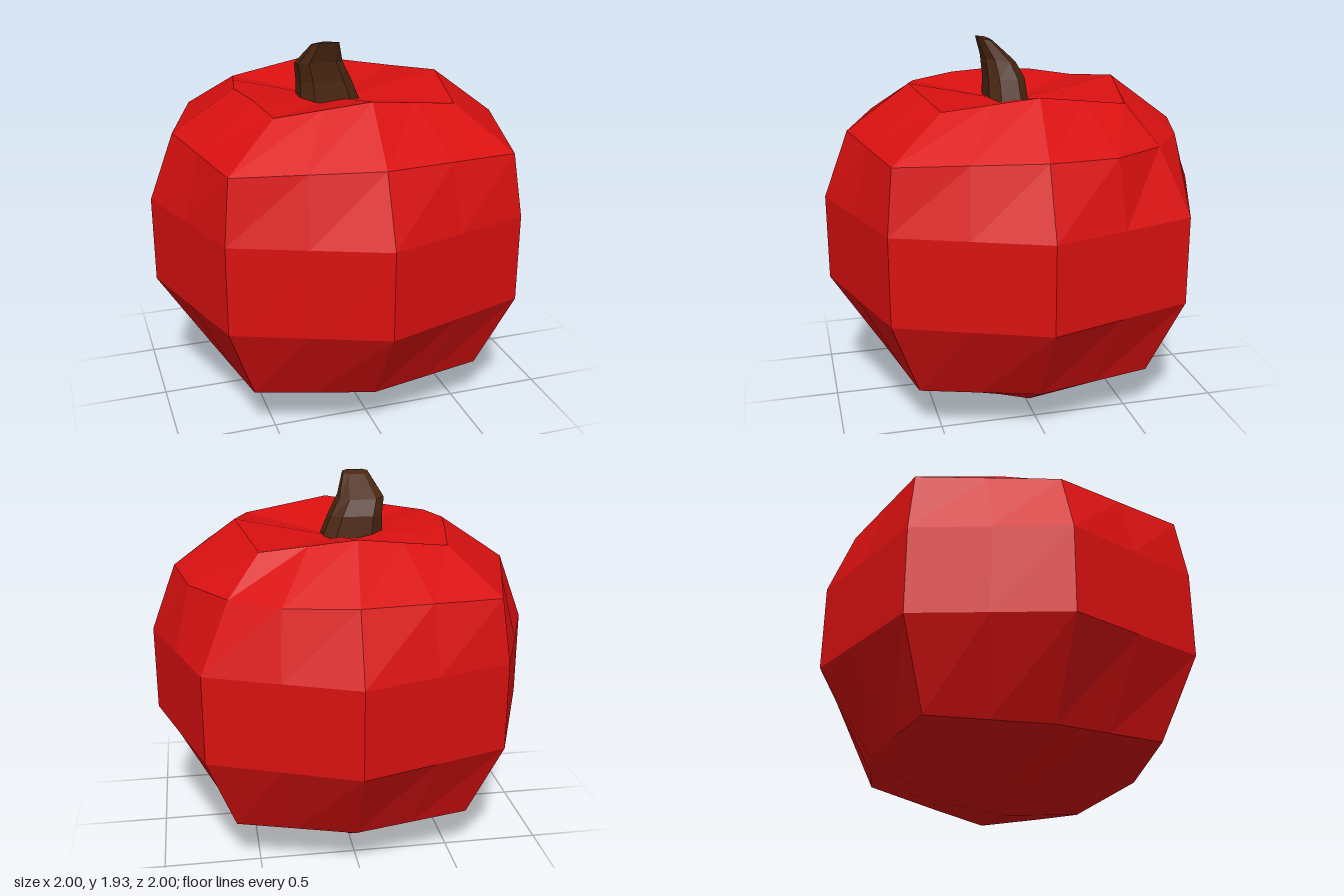
import * as THREE from 'three';

// Skins a stack of equal-length rings (counter-clockwise from above) and closes both ends with fans.
function loft(rings, bottom, top) {
  const n = rings[0].length;
  const pos = [];
  const tri = (...pts) => pts.forEach((p) => pos.push(...p));
  for (let i = 0; i < n; i++) {
    const j = (i + 1) % n;
    tri(bottom, rings[0][j], rings[0][i]);
    for (let k = 0; k + 1 < rings.length; k++) {
      const lo = rings[k], hi = rings[k + 1];
      tri(lo[i], lo[j], hi[j]);
      tri(lo[i], hi[j], hi[i]);
    }
    const last = rings[rings.length - 1];
    tri(last[i], last[j], top);
  }
  const g = new THREE.BufferGeometry();
  g.setAttribute('position', new THREE.Float32BufferAttribute(pos, 3));
  g.computeVertexNormals();
  return g;
}

// Twisted octagon: two corners repeated by quarter turns, starting at the front.
function octagon(axis, diagonal) {
  const ring = [];
  for (let q = 0; q < 4; q++) {
    for (const p of [axis, diagonal]) {
      let [x, y, z] = p;
      for (let t = 0; t < q; t++) [x, z] = [z, -x];
      ring.push([x, y, z]);
    }
  }
  return ring;
}

// Adds the middle of every side.
function withMidpoints(ring) {
  return ring.flatMap((p, i) => {
    const next = ring[(i + 1) % ring.length];
    return [p, p.map((v, k) => (v + next[k]) / 2)];
  });
}

// Rectangle with cut corners; y rises linearly from back to front by tilt.
function cutRectangle(x0, x1, z0, z1, y, tilt = 0) {
  const cx = (x1 - x0) * 0.2, cz = (z1 - z0) * 0.25;
  return [
    [x0 + cx, z1], [x1 - cx, z1], [x1, z1 - cz], [x1, z0 + cz],
    [x1 - cx, z0], [x0 + cx, z0], [x0, z0 + cz], [x0, z1 - cz],
  ].map(([x, z]) => [x, y + tilt * ((z - z0) / (z1 - z0) - 0.5), z]);
}

export function createModel() {
  const red = new THREE.MeshStandardMaterial({ color: 0xd91010, flatShading: true });
  red.name = 'pumpkin red';
  const brown = new THREE.MeshStandardMaterial({ color: 0x4a2610, flatShading: true });
  brown.name = 'stem brown';

  // Body, from the underside to the rim around the stem
  const corners = [
    octagon([0, 0.04, 0.39], [0.29, 0.08, 0.31]),
    octagon([-0.03, 0.24, 0.72], [0.57, 0.26, 0.62]),
    octagon([-0.04, 0.68, 1], [0.71, 0.68, 0.765]),
    octagon([-0.04, 1.13, 1], [0.71, 1.13, 0.765]),
    octagon([-0.04, 1.475, 0.87], [0.67, 1.45, 0.73]),
    octagon([0, 1.715, 0.55], [0.46, 1.65, 0.46]),
  ];
  const bodyRings = corners.map(withMidpoints);
  bodyRings[4][6] = [0.62, 1.46, -0.59]; // dent at the back left shoulder
  bodyRings[5][12][1] = 1.69; // slightly lower rim on the right
  const body = new THREE.Mesh(loft(bodyRings, [0, 0, 0], [0, 1.6, 0]), red);
  body.name = 'body';

  // Stem, leaning forward and to the right
  const stemRings = [
    cutRectangle(-0.22, 0.1, -0.08, 0.13, 1.6),
    cutRectangle(-0.22, 0.05, -0.07, 0.125, 1.72),
    cutRectangle(-0.235, 0, -0.03, 0.13, 1.81, 0.02),
    cutRectangle(-0.17, -0.035, 0.09, 0.165, 1.92, 0.015),
  ];
  const stem = new THREE.Mesh(loft(stemRings, [-0.06, 1.6, 0.02], [-0.11, 1.93, 0.13]), brown);
  stem.name = 'stem';

  const group = new THREE.Group();
  group.name = 'pumpkin';
  group.add(body, stem);
  return group;
}
